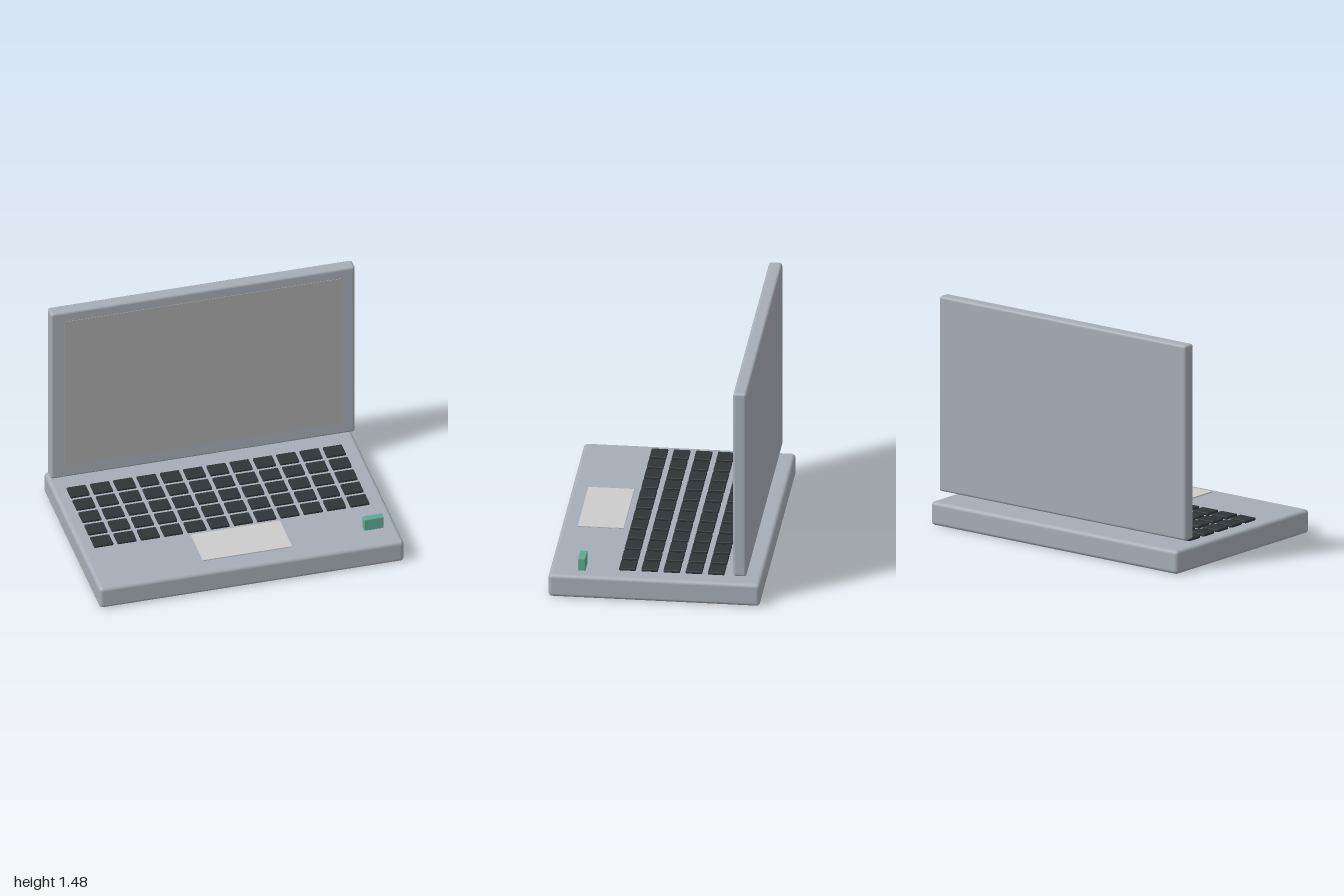
import * as THREE from 'three';
import { RoundedBoxGeometry } from 'three/addons/geometries/RoundedBoxGeometry.js';

const paint = (color) => new THREE.MeshStandardMaterial({ color });

// Rounded box given by its extents along each axis
function slab(name, [x0, x1], [y0, y1], [z0, z1], radius, material, segments = 3) {
  const geometry = new RoundedBoxGeometry(x1 - x0, y1 - y0, z1 - z0, segments, radius);
  const mesh = new THREE.Mesh(geometry, material);
  mesh.name = name;
  mesh.position.set((x0 + x1) / 2, (y0 + y1) / 2, (z0 + z1) / 2);
  return mesh;
}

export function createModel() {
  const model = new THREE.Group();
  model.name = 'laptop';

  const shell = paint(0xa6adb6);
  const keyDark = paint(0x2f3437);

  // Base and upright lid, with a narrow gap between them
  model.add(slab('base', [-1, 1], [0, 0.154], [-0.675, 0.675], 0.025, shell, 4));
  model.add(slab('lid', [-1, 1], [0.204, 1.483], [-0.59, -0.504], 0.018, shell, 4));

  // Thin display panel, barely proud of the lid
  model.add(slab('screen', [-0.913, 0.913], [0.294, 1.41], [-0.52, -0.502], 0.001, paint(0xaaaaaa), 1));

  // Keyboard: five rows of twelve keys
  const keyboard = new THREE.Group();
  keyboard.name = 'keyboard';
  const keyGeometry = new RoundedBoxGeometry(0.125, 0.018, 0.106, 2, 0.005);
  for (let row = 0; row < 5; row++) {
    for (let column = 0; column < 12; column++) {
      const key = new THREE.Mesh(keyGeometry, keyDark);
      key.name = 'key';
      key.position.set(-0.853 + column * 0.153, 0.167, -0.384 + row * 0.1415);
      keyboard.add(key);
    }
  }
  model.add(keyboard);

  // Touchpad plate hovering just over the palm rest
  model.add(slab('touchpad', [-0.294, 0.294], [0.168, 0.177], [0.273, 0.568], 0.002, paint(0xd2d5d2), 1));

  // Small green block on the left palm rest
  model.add(slab('greenBlock', [0.787, 0.914], [0.15, 0.237], [0.447, 0.494], 0.006, paint(0x5fa892)));

  return model;
}
